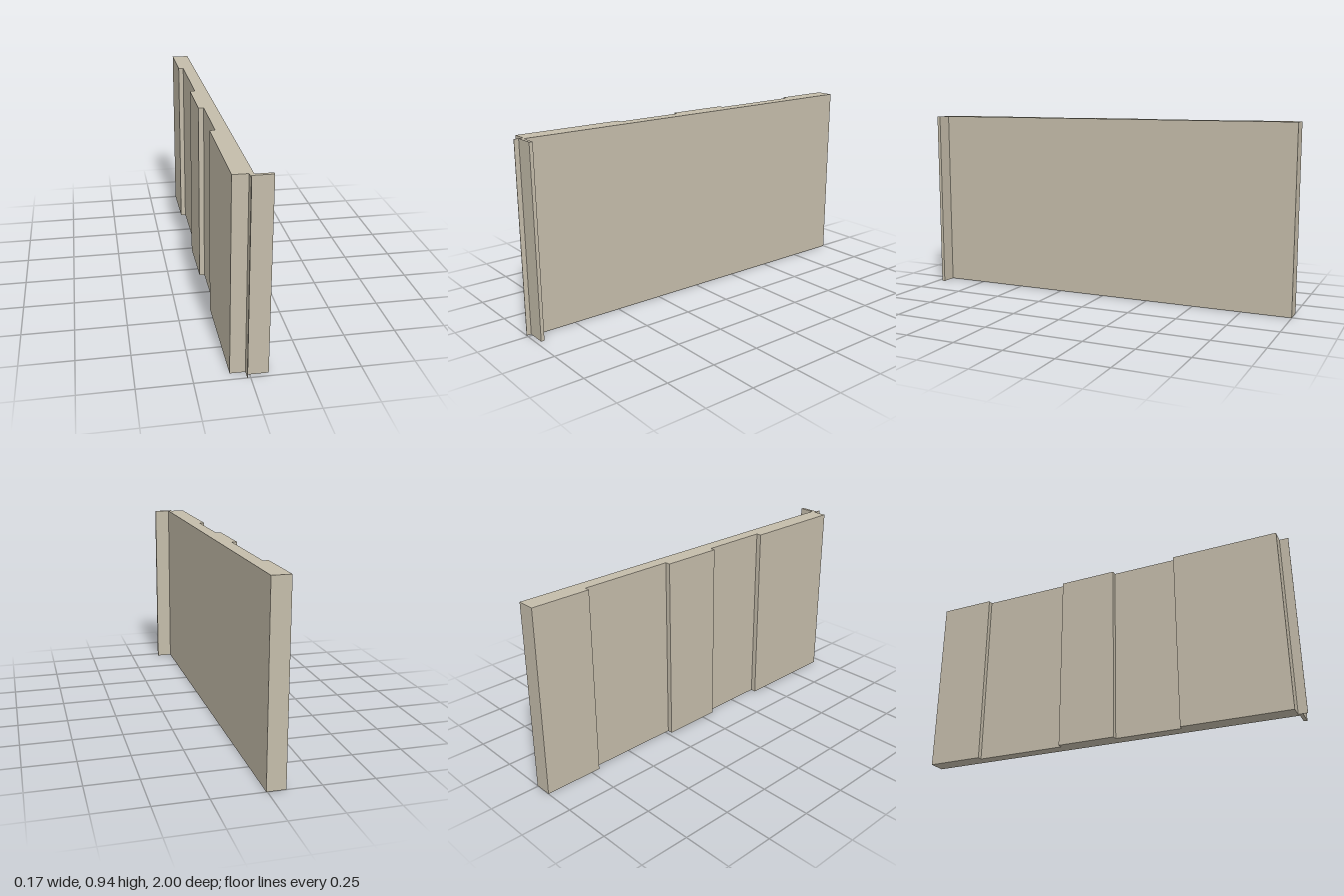
import * as THREE from 'three';

const HEIGHT = 0.935;

// Upright slab from a plan outline given as [x, z] corners
function upright(name, plan, material) {
  const shape = new THREE.Shape(plan.map(([x, z]) => new THREE.Vector2(x, -z)));
  const geometry = new THREE.ExtrudeGeometry(shape, { depth: HEIGHT, bevelEnabled: false });
  geometry.rotateX(-Math.PI / 2);
  const mesh = new THREE.Mesh(geometry, material);
  mesh.name = name;
  return mesh;
}

export function createModel() {
  const model = new THREE.Group();
  model.name = 'wallPanel';
  const stone = new THREE.MeshStandardMaterial({ color: 0xc4bcaa });
  stone.name = 'warm stone';

  const outer = -0.085, recess = -0.059, inner = 0.005;
  const endZ = 0.956, flangeZ = 0.96, lipZ = 0.977;
  const lipX = -0.015;

  // Wall with two shallow recesses, and the angled flange and thin lip at its front end
  model.add(upright('wallWithFlange', [
    [inner, -1], [outer, -1],
    [outer, -0.705], [recess, -0.705], [recess, -0.23], [outer, -0.23],
    [outer, 0.072], [recess, 0.072], [recess, 0.415], [outer, 0.415],
    [outer, endZ], [lipX, endZ],
    [lipX, 1], [lipX + 0.003, 1], [lipX + 0.003, lipZ],
    [0.085, lipZ], [0.085, flangeZ], [inner, flangeZ],
  ], stone));

  return model;
}
